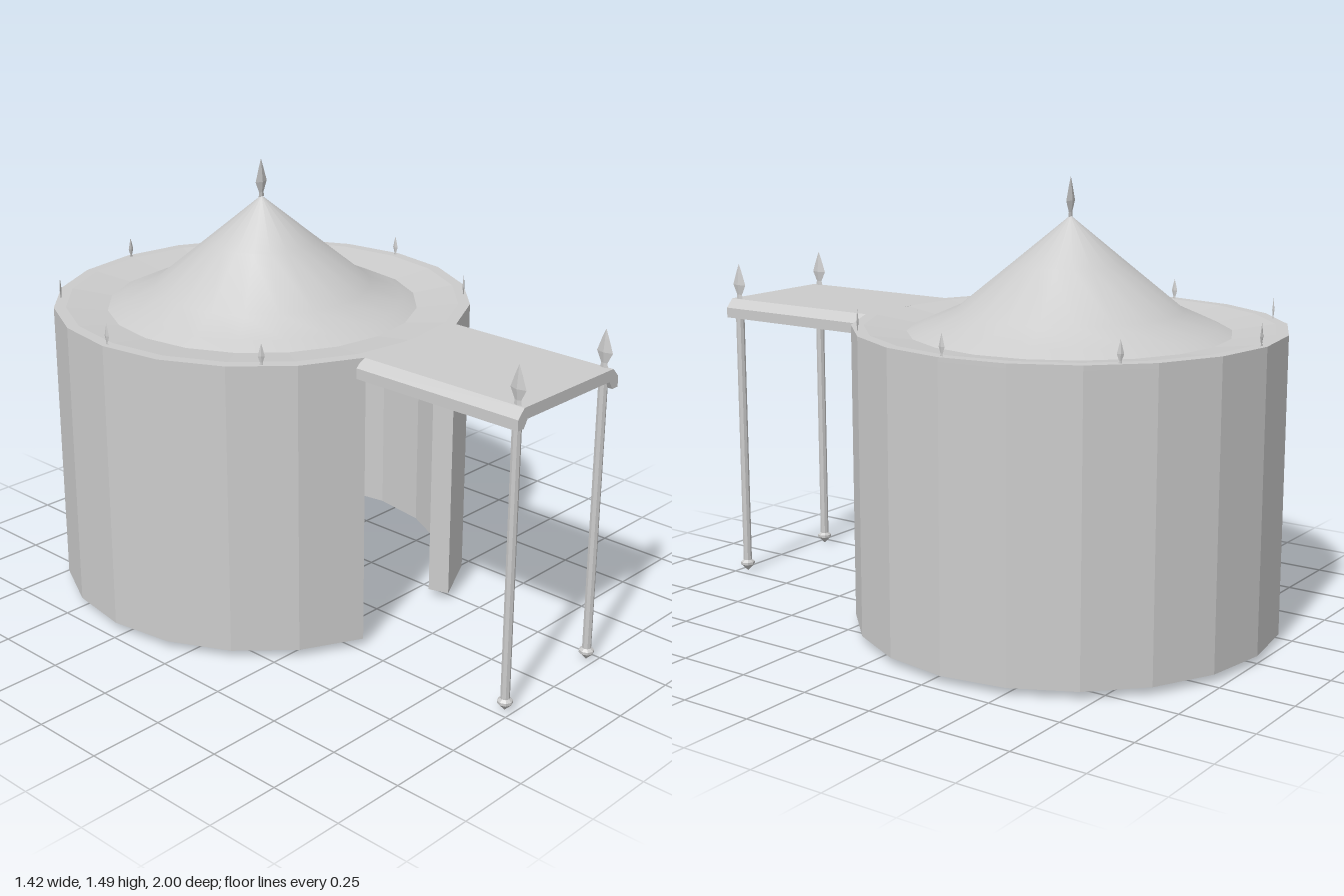
import * as THREE from 'three';

const SIDES = 20, CZ = -0.29, R_OUT = 0.71, R_IN = 0.637, RIM_Y = 1.01;

const flat = new THREE.MeshStandardMaterial({ color: 0xcccccc, flatShading: true, side: THREE.DoubleSide });
const smooth = new THREE.MeshStandardMaterial({ color: 0xcccccc, side: THREE.DoubleSide });

function add(parent, name, geometry, material = flat) {
  const mesh = new THREE.Mesh(geometry, material);
  mesh.name = name;
  parent.add(mesh);
  return mesh;
}

function lathe(points, segments) {
  return new THREE.LatheGeometry(points.map(([r, y]) => new THREE.Vector2(r, y)), segments);
}

// Flattened spear-shaped finial, wide along its local x
function finial(parent, name, height, halfWidth, thinness) {
  const geometry = lathe([
    [0, 0], [0.5 * halfWidth, 0], [0.4 * halfWidth, 0.12 * height],
    [halfWidth, 0.4 * height], [0.45 * halfWidth, 0.75 * height], [0, height],
  ], 4);
  geometry.scale(1, 1, thinness);
  return add(parent, name, geometry);
}

// C-shaped wall plan with the two front segments left open
function wallGeometry() {
  const shape = new THREE.Shape();
  const point = (r, i) => {
    const a = (i / SIDES) * Math.PI * 2;
    return [r * Math.sin(a), -r * Math.cos(a)];
  };
  shape.moveTo(...point(R_OUT, 1));
  for (let i = 2; i < SIDES; i++) shape.lineTo(...point(R_OUT, i));
  for (let i = SIDES - 1; i >= 1; i--) shape.lineTo(...point(R_IN, i));
  shape.closePath();
  const geometry = new THREE.ExtrudeGeometry(shape, { depth: 0.97, bevelEnabled: false });
  geometry.rotateX(-Math.PI / 2);
  geometry.translate(0, 0.025, 0);
  return geometry;
}

export function createModel() {
  const model = new THREE.Group();
  model.name = 'roundPavilion';

  // Round building
  const building = new THREE.Group();
  building.name = 'roundBuilding';
  building.position.z = CZ;
  model.add(building);
  add(building, 'wall', wallGeometry());
  add(building, 'roofRim', lathe([[R_OUT, 0.99], [R_OUT, RIM_Y], [0.67, RIM_Y], [0.53, 0.99]], SIDES));
  add(building, 'coneRoof', lathe([
    [0.53, 0.99], [0.48, 1.013], [0.37, 1.062], [0.185, 1.213], [0, 1.365],
  ], SIDES), smooth);
  finial(building, 'roofFinial', 0.13, 0.026, 0.3).position.y = 1.36;

  // Small finials round the rim, none over the entrance
  for (let i = 1; i < 8; i++) {
    const a = (i * Math.PI) / 4;
    const spike = finial(building, 'rimFinial', 0.07, 0.011, 0.35);
    spike.position.set(0.69 * Math.sin(a), RIM_Y, 0.69 * Math.cos(a));
    spike.rotation.y = a;
  }

  // Entrance canopy with chamfered side beams
  const section = new THREE.Shape([
    [-0.25, 0.945], [-0.222, 0.945], [-0.205, 0.972], [0.205, 0.972], [0.222, 0.945],
    [0.25, 0.945], [0.25, 0.98], [0.222, RIM_Y], [-0.222, RIM_Y], [-0.25, 0.98],
  ].map(([x, y]) => new THREE.Vector2(x, y)));
  const canopy = new THREE.ExtrudeGeometry(section, { depth: 0.625, bevelEnabled: false });
  canopy.translate(0, 0, 0.375);
  add(model, 'canopy', canopy);

  // Slim columns with pointed feet and tall finials
  for (const side of [-1, 1]) {
    const column = new THREE.Group();
    column.name = side > 0 ? 'leftColumn' : 'rightColumn';
    column.position.set(side * 0.215, 0, 0.97);
    model.add(column);
    add(column, 'shaft', lathe([
      [0, 0], [0.025, 0.025], [0.025, 0.034], [0.015, 0.042], [0.015, 0.975],
    ], 8));
    const top = finial(column, 'columnFinial', 0.125, 0.029, 0.3);
    top.position.y = RIM_Y;
    top.rotation.y = Math.PI / 2;
  }
  return model;
}
